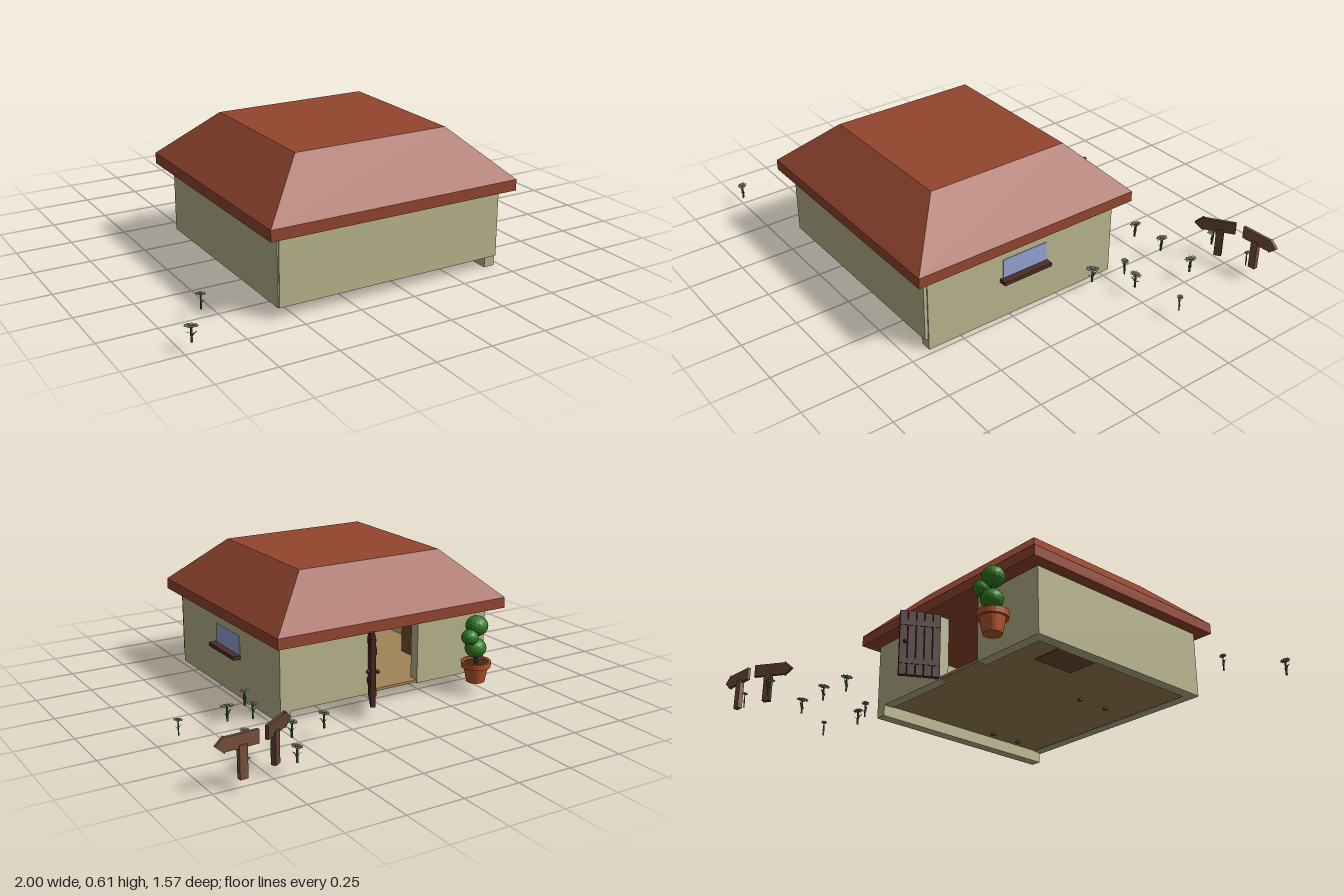
import * as THREE from 'three';

const mat = (color, flat = false) =>
  new THREE.MeshStandardMaterial({ color, flatShading: flat });
const M = {
  wall: mat(0xb8b58c), roof: mat(0x93452f), floor: mat(0xa08457), wood: mat(0x4b2d27),
  signA: mat(0x5f4031), signB: mat(0x77503a), glass: mat(0x95a3d4), pot: mat(0xb9572b),
  soil: mat(0x3a2a1e), leaf: mat(0x2f7a20, true), stem: mat(0x3c6b35, true),
  petal: mat(0xb4b3a8, true), core: mat(0x6a675c, true), furniture: mat(0x70502f), metal: mat(0x2b2523),
};
M.leafBlade = new THREE.MeshStandardMaterial({ color: 0x2f6b2c, side: THREE.DoubleSide });

function add(parent, name, geo, material, x = 0, y = 0, z = 0) {
  const m = new THREE.Mesh(geo, material);
  m.name = name;
  m.position.set(x, y, z);
  parent.add(m);
  return m;
}

// Box given by its minimum and maximum corners
function span(parent, name, material, x0, x1, y0, y1, z0, z1) {
  return add(parent, name, new THREE.BoxGeometry(x1 - x0, y1 - y0, z1 - z0), material,
    (x0 + x1) / 2, (y0 + y1) / 2, (z0 + z1) / 2);
}

function group(parent, name, x = 0, y = 0, z = 0, ry = 0) {
  const g = new THREE.Group();
  g.name = name;
  g.position.set(x, y, z);
  g.rotation.y = ry;
  parent.add(g);
  return g;
}

function buildWalls(root) {
  const g = group(root, 'walls');
  span(g, 'frontWall', M.wall, -0.57, 0.47, 0.05, 0.36, 0.62, 0.67);
  span(g, 'leftWall', M.wall, 0.425, 0.475, 0, 0.36, -0.3, 0.655);
  span(g, 'rightWall', M.wall, -0.575, -0.525, 0.05, 0.36, -0.3, 0.665);
  span(g, 'backWallByPlant', M.wall, -0.53, -0.21, 0.05, 0.36, -0.3, -0.25);
  span(g, 'backWallByDoor', M.wall, 0.04, 0.43, 0.05, 0.36, -0.3, -0.25);
  span(g, 'floor', M.floor, -0.55, 0.45, 0.053, 0.065, -0.295, 0.64);
}

function buildRoof(root) {
  const g = group(root, 'roof');
  span(g, 'eaves', M.roof, -0.63, 0.52, 0.35, 0.398, -0.37, 0.72);
  // Hipped slope: a box whose top corners are drawn in
  const geo = new THREE.BoxGeometry(1.15, 0.207, 1.09);
  const p = geo.attributes.position;
  for (let i = 0; i < p.count; i++) {
    if (p.getY(i) > 0) p.setXYZ(i, Math.sign(p.getX(i)) * 0.355, p.getY(i), Math.sign(p.getZ(i)) * 0.335);
  }
  geo.computeVertexNormals();
  add(g, 'hippedSlope', geo, M.roof, -0.055, 0.5015, 0.175);
}

function buildWindow(root) {
  const g = group(root, 'window');
  span(g, 'pane', M.glass, 0.42, 0.478, 0.195, 0.285, 0.06, 0.285);
  span(g, 'sill', M.wood, 0.43, 0.51, 0.18, 0.197, 0.055, 0.3);
}

// Plank door, swung open from its hinge
function buildDoor(root) {
  const g = group(root, 'door', 0.035, 0.055, -0.3, 1.06);
  const n = 5, w = 0.18 / n;
  for (let i = 0; i < n; i++) {
    span(g, 'plank', M.wood, i * w + 0.0015, (i + 1) * w - 0.0015, 0, 0.3, -0.011, 0.011);
  }
  for (const y of [0.05, 0.23]) span(g, 'crossBar', M.wood, 0.004, 0.176, y, y + 0.025, -0.014, 0.014);
  for (const s of [-1, 1]) {
    add(g, 'doorKnob', new THREE.SphereGeometry(0.009, 10, 8), M.metal, 0.155, 0.15, s * 0.02);
  }
}

// Cabinet and table, their feet just breaking through the floor
function buildFurniture(root) {
  const g = group(root, 'furniture');
  span(g, 'cabinet', M.furniture, -0.525, -0.38, 0.05, 0.24, -0.14, 0.07);
  span(g, 'tableTop', M.furniture, -0.23, 0.41, 0.15, 0.17, 0.28, 0.5);
  for (const x of [-0.2, 0.38]) for (const z of [0.31, 0.47]) {
    add(g, 'tableLeg', new THREE.CylinderGeometry(0.012, 0.012, 0.11, 10), M.furniture, x, 0.1, z);
  }
}

// Arrow signpost; dir is the end the arrow points to
function buildSign(root, name, x, z, ry, len, dir, postX, material) {
  const g = group(root, name, x, 0, z, ry);
  const h = len / 2, s = new THREE.Shape();
  s.moveTo(-h, -0.028);
  s.lineTo(h - 0.04, -0.028);
  s.lineTo(h - 0.036, -0.033);
  s.lineTo(h, 0);
  s.lineTo(h - 0.036, 0.033);
  s.lineTo(h - 0.04, 0.028);
  s.lineTo(-h, 0.028);
  const geo = new THREE.ExtrudeGeometry(s, { depth: 0.014, bevelEnabled: false });
  geo.translate(0, 0, -0.007);
  const board = add(g, 'arrowBoard', geo, material, 0, 0.195, 0);
  if (dir < 0) board.rotation.y = Math.PI;
  span(g, 'post', material, postX - 0.017, postX + 0.017, 0.045, 0.18, -0.011, 0.011);
}

// Flower with a stem, two bent leaves and an oval speckled head
function buildFlower(root, x, z, size, ry) {
  const g = group(root, 'flower', x, 0.047, z, ry);
  g.scale.set(size, 1, size);
  add(g, 'stem', new THREE.CylinderGeometry(0.004, 0.005, 0.062, 6), M.stem, 0, 0.031, 0);
  const blade = new THREE.PlaneGeometry(0.012, 0.03, 2, 3);
  const p = blade.attributes.position;
  for (let i = 0; i < p.count; i++) {
    const t = (p.getY(i) + 0.015) / 0.03;
    p.setXYZ(i, p.getX(i) * (1.2 - t), 0.02 * Math.sqrt(t), 0.022 * t);
  }
  blade.computeVertexNormals();
  for (let i = 0; i < 2; i++) {
    add(g, 'leaf', blade, M.leafBlade, 0, 0.02 + i * 0.006, 0).rotation.y = i * Math.PI + 0.5;
  }
  const head = group(g, 'flowerHead', 0, 0.064, 0);
  head.scale.set(0.8, 1, 1.15);
  add(head, 'centre', new THREE.CylinderGeometry(0.011, 0.007, 0.012, 8), M.core, 0, 0.001, 0);
  const petalGeo = new THREE.IcosahedronGeometry(0.0075, 0).scale(1.2, 0.45, 0.75);
  for (let i = 0; i < 9; i++) {
    const a = i / 9 * Math.PI * 2;
    const petal = add(head, 'petal', petalGeo, M.petal, Math.cos(a) * 0.018, 0.003, -Math.sin(a) * 0.018);
    petal.rotation.y = a;
  }
}

// Clay pot holding a clipped bush
function buildPlant(root) {
  const g = group(root, 'pottedPlant', -0.44, 0.055, -0.42);
  const prof = [[0, 0], [0.04, 0], [0.054, 0.068], [0.065, 0.068], [0.067, 0.095], [0.056, 0.095], [0.053, 0.08]];
  add(g, 'pot', new THREE.LatheGeometry(prof.map(([r, y]) => new THREE.Vector2(r, y)), 24),
    new THREE.MeshStandardMaterial({ color: 0xb9572b, side: THREE.DoubleSide, flatShading: true }));
  add(g, 'soil', new THREE.CylinderGeometry(0.054, 0.054, 0.006, 20), M.soil, 0, 0.082, 0);
  add(g, 'trunk', new THREE.CylinderGeometry(0.007, 0.009, 0.18, 8), M.soil, 0, 0.165, 0);
  add(g, 'branch', new THREE.CylinderGeometry(0.005, 0.005, 0.06, 6), M.soil, 0.025, 0.195, -0.005).rotation.z = -0.9;
  for (const [x, y, z, r] of [[0, 0.255, 0.002, 0.05], [0.05, 0.215, -0.015, 0.038], [0.005, 0.155, 0, 0.048]]) {
    add(g, 'foliageBall', new THREE.IcosahedronGeometry(r, 2), M.leaf, x, y, z).scale.y = 0.92;
  }
}

export function createModel() {
  const root = new THREE.Group();
  root.name = 'cottage';
  buildWalls(root);
  buildRoof(root);
  buildWindow(root);
  buildDoor(root);
  buildFurniture(root);
  buildPlant(root);
  buildSign(root, 'signLeftPointing', 0.7075, -0.71, 0.604, 0.18, -1, 0.024, M.signA);
  buildSign(root, 'signRightPointing', 0.91, -0.775, 0.05, 0.18, 1, -0.022, M.signB);
  // x, z, size, turn
  const flowers = [
    [0.655, -0.76, 1, 0], [0.4, -0.525, 1, 0], [0.555, -0.54, 1, 0], [0.75, -0.525, 1, 0],
    [0.595, -0.285, 0.85, 0.9], [0.695, -0.255, 1, 1.4], [0.925, -0.29, 0.65, 0.7], [0.555, -0.135, 1, -0.7],
    [-0.83, 0.52, 0.7, 0.9], [-0.975, 0.755, 0.95, 1.0], [0.862, -0.758, 0.5, 0.4],
  ];
  for (const f of flowers) buildFlower(root, ...f);
  return root;
}
